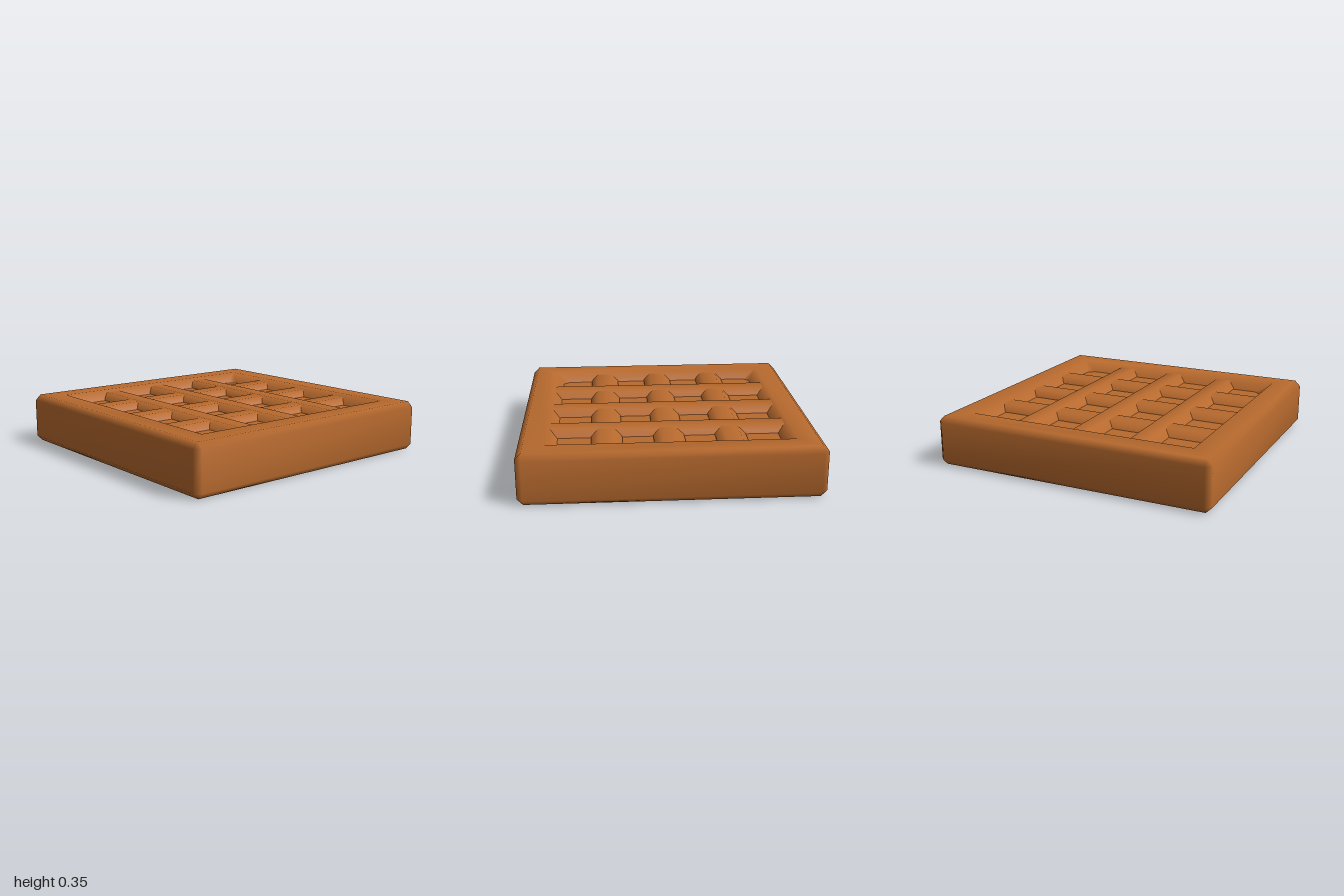
import * as THREE from 'three';
import { mergeVertices } from 'three/addons/utils/BufferGeometryUtils.js';

// Skin a grid of cross-sections with smooth, area-weighted normals
function loft(rows, closed) {
  const corners = [];
  const n = rows[0].length;
  for (let i = 0; i < rows.length - 1; i++) {
    for (let j = 0; j < (closed ? n : n - 1); j++) {
      const k = (j + 1) % n;
      const [a, b, c, d] = [rows[i][j], rows[i][k], rows[i + 1][k], rows[i + 1][j]];
      corners.push(a, b, c, a, c, d);
    }
  }
  const geometry = mergeVertices(new THREE.BufferGeometry().setFromPoints(corners));
  geometry.computeVertexNormals();
  return geometry;
}

// Square ring with cut corners
function ring(half, y, cut) {
  const s = half - cut;
  return [[half, s], [half, -s], [s, -half], [-s, -half], [-half, -s], [-half, s], [-s, half], [s, half]]
    .map(([x, z]) => new THREE.Vector3(x, y, z));
}

// Bar along x with bevelled top edges
function ridgeGeometry(top) {
  const profile = [[-0.105, 0.265], [-0.105, 0.287], [-0.055, top], [0.055, top], [0.105, 0.287], [0.105, 0.265]];
  return loft([-0.85, 0.85].map(x => profile.map(([z, y]) => new THREE.Vector3(x, y, z))), false);
}

export function createModel() {
  const group = new THREE.Group();
  const crust = new THREE.MeshStandardMaterial({ color: 0xb86a2e });
  crust.name = 'golden brown';
  const add = (name, geometry) => {
    const mesh = new THREE.Mesh(geometry, crust);
    mesh.name = name;
    group.add(mesh);
    return mesh;
  };

  // Base, bevelled sides, rim and sloping inner wall
  const body = [
    [0, 0, 0], [0.96, 0, 0], [1, 0.04, 0.04], [1, 0.31, 0.04],
    [0.96, 0.35, 0], [0.82, 0.35, 0], [0.75, 0.28, 0.045], [0.74, 0.25, 0.045],
  ];
  add('rim', loft(body.map(p => ring(...p)), true));

  // Sunken floor
  const floor = add('floor', new THREE.PlaneGeometry(1.52, 1.52));
  floor.rotation.x = -Math.PI / 2;
  floor.position.y = 0.28;

  // Crossing ridges, one direction slightly lower
  const wide = ridgeGeometry(0.332), deep = ridgeGeometry(0.327);
  for (const offset of [-0.42, 0, 0.42]) {
    add('crossRidge', wide).position.z = offset;
    const ridge = add('lengthRidge', deep);
    ridge.rotation.y = Math.PI / 2;
    ridge.position.x = offset;
  }
  return group;
}
